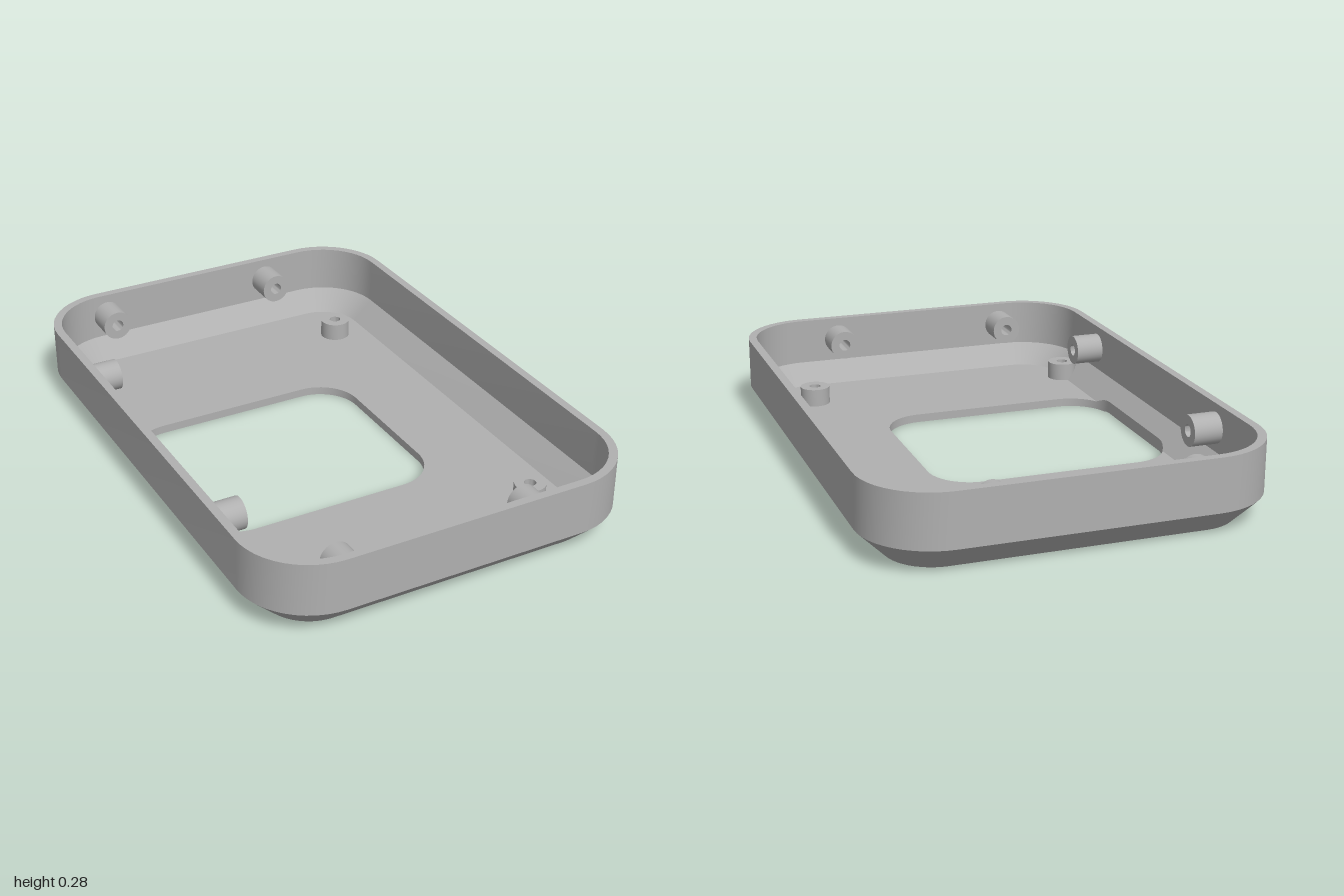
import * as THREE from 'three';
import { toCreasedNormals } from 'three/addons/utils/BufferGeometryUtils.js';

const HALF_X = 0.68, HALF_Z = 1, CORNER = 0.25, STEPS = 12;
const CX = HALF_X - CORNER, CZ = HALF_Z - CORNER;

// Closed loop of [x, z] points, running from +x towards +z
function roundedLoop(x0, z0, hx, hz, r) {
  const pts = [];
  for (let k = 0; k < 4; k++) {
    const sx = k === 0 || k === 3 ? 1 : -1, sz = k < 2 ? 1 : -1;
    for (let i = 0; i <= STEPS; i++) {
      const a = (k + i / STEPS) * Math.PI / 2;
      pts.push([x0 + sx * (hx - r) + r * Math.cos(a), z0 + sz * (hz - r) + r * Math.sin(a)]);
    }
  }
  return pts;
}
function circleLoop(x, z, r) {
  return Array.from({ length: 32 }, (_, i) => {
    const a = i / 32 * Math.PI * 2;
    return [x + r * Math.cos(a), z + r * Math.sin(a)];
  });
}
const ring = inset => roundedLoop(0, 0, HALF_X - inset, HALF_Z - inset, CORNER - inset);

// Part of a convex loop on one side of the line x = f, with its two crossings
function runBeside(loop, f, side) {
  const n = loop.length, inside = p => (p[0] - f) * side > 0;
  const cross = (a, b) => [f, a[1] + (b[1] - a[1]) * (f - a[0]) / (b[0] - a[0])];
  let s = 0;
  while (!(inside(loop[s]) && !inside(loop[(s + n - 1) % n]))) s++;
  const run = [cross(loop[(s + n - 1) % n], loop[s])];
  while (inside(loop[s % n])) run.push(loop[s++ % n]);
  run.push(cross(loop[(s + n - 1) % n], loop[s % n]));
  return run;
}

// Strip joining two loops; the segment numbered skip is left open
function addBand(pos, low, high, skip = -1) {
  for (let i = 0; i < low.length; i++) {
    if (i === skip) continue;
    const j = (i + 1) % low.length;
    for (const p of [low[i], high[i], low[j], low[j], high[i], high[j]]) pos.push(...p);
  }
}
function creased(pos) {
  const g = new THREE.BufferGeometry();
  g.setAttribute('position', new THREE.Float32BufferAttribute(pos, 3));
  return toCreasedNormals(g, 0.5);
}

// Outline in x and z filled at height y = h(x)
function sheet(outline, holes, h, up) {
  const v2 = l => l.map(p => new THREE.Vector2(...p));
  const shape = new THREE.Shape(v2(outline));
  shape.holes = holes.map(l => new THREE.Path(v2(l)));
  const g = new THREE.ShapeGeometry(shape), p = g.attributes.position;
  for (let i = 0; i < p.count; i++) p.setXYZ(i, p.getX(i), h(p.getX(i)), p.getY(i));
  if (up) {
    const ix = g.index.array;
    for (let i = 0; i < ix.length; i += 3) [ix[i], ix[i + 1]] = [ix[i + 1], ix[i]];
  }
  g.computeVertexNormals();
  return g;
}

function lathe(points) {
  const g = new THREE.LatheGeometry(points.map(p => new THREE.Vector2(...p)), 32);
  g.deleteAttribute('uv');
  g.deleteAttribute('normal');
  return g;
}

export function createModel() {
  const group = new THREE.Group();
  const grey = new THREE.MeshStandardMaterial({ color: 0xb0b0b0, side: THREE.DoubleSide });
  grey.name = 'grey';
  const add = (name, geometry) => {
    const m = new THREE.Mesh(geometry, grey);
    m.name = name;
    group.add(m);
    return m;
  };

  // Rim and sloped lower walls, outside and inside
  const profile = [[0.09, 0], [0, 0.09], [0, 0.275], [0.03, 0.275], [0.03, 0.105], [0.105, 0.03]];
  const rings = profile.map(([inset, y]) => ring(inset).map(([x, z]) => [x, y, z]));
  const leftSide = 2 * STEPS + 1;
  const shell = [];
  for (let i = 0; i < 5; i++) addBand(shell, rings[i], rings[i + 1], i % 4 === 0 ? leftSide : -1);
  add('shell', creased(shell));

  // Openings through the floor; those at -x also cut into the sloped wall
  const opening = roundedLoop(-0.1625, 0.03, 0.4325, 0.375, 0.15);
  const screw = (x, z) => circleLoop(x, z, 0.036);
  const sideCuts = [screw(-0.57, 0.68), opening, screw(-0.57, -0.685)];
  const holes = [screw(0.45, 0.68), screw(0.45, -0.685)];
  const outerY = x => Math.max(0, -x - 0.59);
  const innerY = x => Math.max(0.03, -x - 0.545);

  for (const [name, inset, wall, h, up] of [
    ['underside', 0.09, 0, outerY, false],
    ['innerFloor', 0.105, 0.03, innerY, true],
  ]) {
    const fold = inset - HALF_X, edge = ring(inset);
    const flat = [...edge.slice(leftSide + 1), ...edge.slice(0, leftSide + 1)];
    const slope = [[wall - HALF_X, -CZ], [wall - HALF_X, CZ], [fold, CZ]];
    for (const c of sideCuts) {
      flat.push(...runBeside(c, fold, 1).reverse());
      slope.push(...runBeside(c, fold, -1));
    }
    slope.push([fold, -CZ]);
    add(name, sheet(flat, holes, h, up));
    add(name + 'SidePanel', sheet(slope, [], h, up));
  }

  // Cut edge of the large opening
  const openingEdge = [];
  addBand(openingEdge, opening.map(([x, z]) => [x, innerY(x), z]), opening.map(([x, z]) => [x, outerY(x), z]));
  add('openingEdge', creased(openingEdge));

  // Floor screw posts with a wider recess below, trimmed to the sloped wall
  for (const x of [-0.57, 0.45]) for (const z of [-0.685, 0.68]) {
    const g = lathe([[0.055, 0.02], [0.055, 0.095], [0.021, 0.095], [0.021, 0.045], [0.036, 0.045], [0.036, 0]]);
    g.translate(x, 0, z);
    const p = g.attributes.position;
    for (let i = 0; i < p.count; i++) {
      const y = p.getY(i);
      if (y < 0.03) p.setY(i, Math.max(y, -p.getX(i) - 0.59 + y / 2));
    }
    add('floorPost', toCreasedNormals(g, 0.5));
  }

  // Hollow posts standing out from the walls
  const wallPost = toCreasedNormals(lathe([[0.055, -0.01], [0.055, 0.103], [0.022, 0.103], [0.022, -0.01]]), 0.5);
  for (const x of [-0.4, 0.28]) for (const s of [-1, 1]) {
    const m = add('endWallPost', wallPost);
    m.position.set(x, 0.19, s * 0.97);
    m.rotation.x = -s * Math.PI / 2;
  }
  for (const z of [-0.515, 0.51]) {
    const m = add('sideWallPost', wallPost);
    m.position.set(-0.65, 0.19, z);
    m.rotation.z = -Math.PI / 2;
  }
  return group;
}
